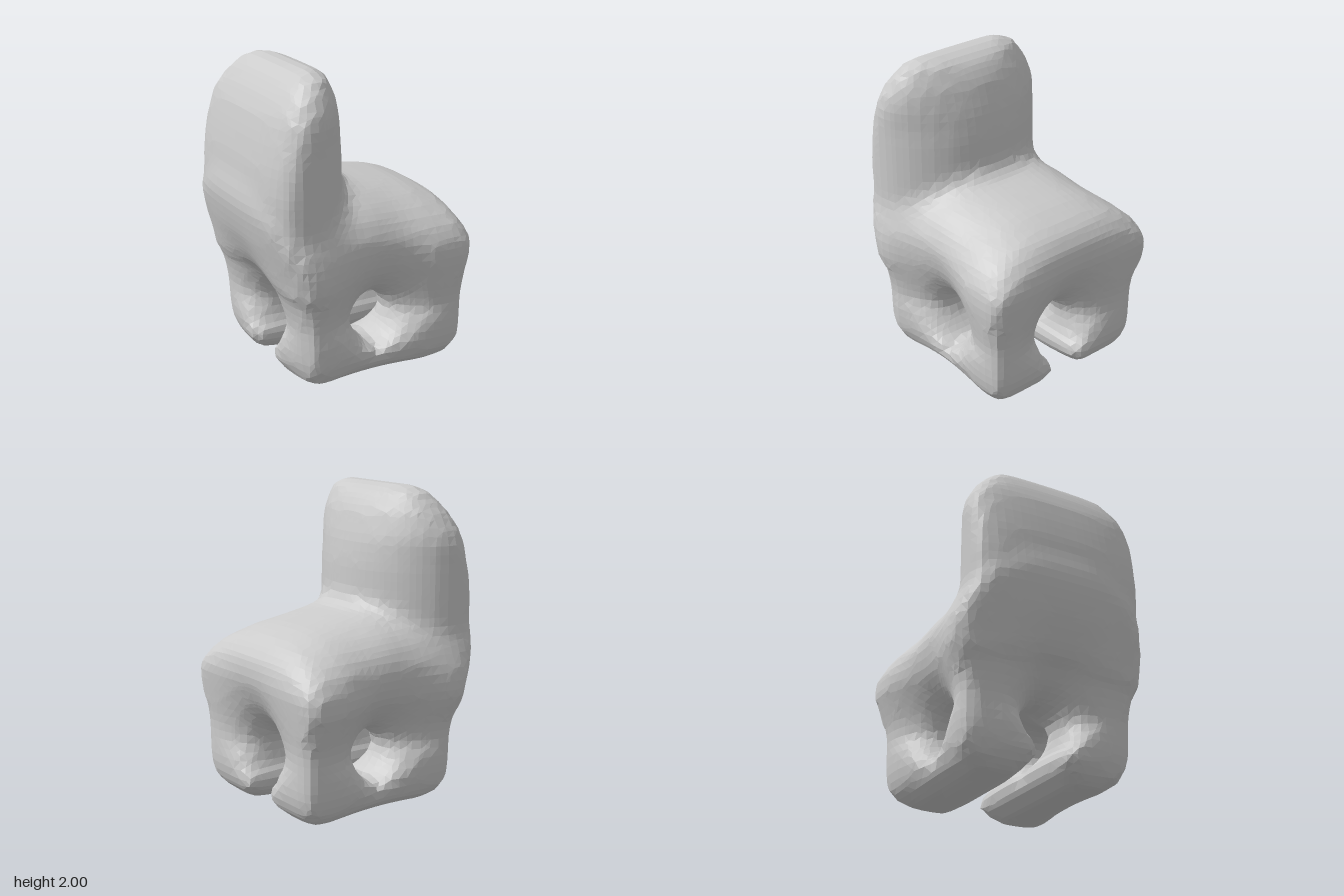
import * as THREE from 'three';

const STEP = 0.055;
const { abs, max, min, hypot } = Math;

// Smooth intersection and union of two distance fields
const smoothMax = (a, b, k) => max(a, b) + max(k - abs(a - b), 0) ** 2 / (4 * k);
const smoothMin = (a, b, k) => min(a, b) - max(k - abs(a - b), 0) ** 2 / (4 * k);
const flare = (t) => THREE.MathUtils.smoothstep(abs(t), 0.2, 0.66);

// Piecewise linear curve through [t, value] points
const curve = (...pts) => (t) => {
  if (t <= pts[0][0]) return pts[0][1];
  for (let i = 1; i < pts.length; i++) {
    const [t0, v0] = pts[i - 1], [t1, v1] = pts[i];
    if (t <= t1) return v0 + (v1 - v0) * (t - t0) / (t1 - t0);
  }
  return pts[pts.length - 1][1];
};

// Outlines by height: rear edge, front edges, half widths
const rearCurve = curve([0.17, -0.525], [0.45, -0.535], [0.75, -0.59], [1, -0.655], [1.15, -0.685],
  [1.3, -0.69], [1.45, -0.675], [1.6, -0.645], [1.75, -0.605], [1.87, -0.54], [1.97, -0.46], [2, -0.4]);
const rearEdge = (y, z) => rearCurve(y) + 0.07 * (abs(z) / 0.6) ** 3;
const frontEdge = curve([0, 0.64], [0.5, 0.64], [0.72, 0.67], [0.85, 0.685], [1, 0.67]);
const baseWidth = curve([0.17, 0.58], [0.5, 0.59], [0.75, 0.645], [0.93, 0.64], [1.2, 0.59]);
const baseShift = curve([0.55, 0.02], [0.75, 0]);
const backFront = curve([1.3, -0.045], [1.5, -0.05], [1.66, -0.07], [1.84, -0.12], [1.96, -0.19], [2, -0.25]);
const backCentre = curve([1.6, -0.5], [2, -0.34]);
const backWidth = curve([1.65, 0.585], [1.75, 0.56], [1.85, 0.51], [1.95, 0.43], [2, 0.34]);
const backShift = curve([1.65, 0.02], [2, 0.065]);
const seatTop = curve([0, 1.24], [0.2, 1.205], [0.4, 1.165], [0.55, 1.11], [0.68, 1.02]);
const seatDome = curve([0.2, 0.26], [0.64, 0.13]);
// Lower half widths of the openings, up to their widest height, and softness of their lips
const archFoot = curve([0, 0.2], [0.05, 0.13], [0.12, 0.085], [0.17, 0.07], [0.25, 0.125], [0.34, 0.14]);
const holeFoot = curve([0, -0.3], [0.2, -0.01], [0.28, 0.08], [0.37, 0.11]);
const lip = curve([0.12, 0.04], [0.4, 0.28]);

// Backrest: D-shaped section that narrows to a rounded top
function backrest(x, y, z) {
  const c = backCentre(y);
  const front = (hypot(max(x - c, 0) / (backFront(y) - c), (z - backShift(y)) / backWidth(y)) - 1) * 0.45;
  const d = smoothMax(front, rearEdge(y, z) - x, 0.1);
  return max(d, y - 2, 0.7 - y);
}

// Seat and base block: domed seat, bevelled foot edges
function base(x, y, z) {
  const waist = 0.045 * max(0, 1 - (x / 0.4) ** 2);
  let d = smoothMax(rearEdge(y, z) - x, x - frontEdge(y), 0.1);
  d = smoothMax(d, abs(z - baseShift(y)) - baseWidth(y) + waist, 0.1);
  d = smoothMax(d, y - seatTop(x) + seatDome(x) * (abs(z) / 0.6) ** 3, 0.1);
  return smoothMax(d, -y, 0.26);
}

// Arch running front to back between the runners
function arch(x, y, z) {
  const f = flare(x - 0.04);
  const w = 0.14 + 0.03 * f, h = 0.145 + 0.1 * f;
  if (y > 0.34) return (hypot((z - 0.02) / w, (y - 0.34) / h) - 1) * 0.14;
  return abs(z - 0.02) - archFoot(y) * w / 0.14;
}

// Teardrop opening through each side, above its runner
function sideHole(x, y, z) {
  const f = flare(z);
  const w = 0.11 + 0.05 * f, h = 0.125 + 0.1 * f;
  if (y > 0.37) return (hypot((x - 0.055) / w, (y - 0.37) / h) - 1) * 0.11;
  return abs(x - 0.055) - holeFoot(y + 0.03 * f) * w / 0.11;
}

function chairField(x, y, z) {
  let d = smoothMin(base(x, y, z), backrest(x, y, z), 0.12);
  d = smoothMax(d, -arch(x, y, z), lip(y));
  return smoothMax(d, -sideHole(x, y, z), lip(y));
}

// Skin the field: one vertex per crossed cell, one quad per crossed grid edge
function skin(field, lo, hi) {
  const n = lo.map((v, i) => Math.ceil((hi[i] - v) / STEP) + 1);
  const at = (i, j, k) => (k * n[1] + j) * n[0] + i;
  const value = new Float32Array(n[0] * n[1] * n[2]);
  const cell = new Int32Array(value.length).fill(-1);
  const each = (fn, cut) => {
    for (let k = cut; k < n[2] - cut; k++)
      for (let j = cut; j < n[1] - cut; j++)
        for (let i = cut; i < n[0] - cut; i++) fn([i, j, k]);
  };
  each((p) => {
    value[at(...p)] = field(...p.map((v, a) => lo[a] + v * STEP));
  }, 0);

  const points = [], faces = [];
  const stride = [1, n[0], n[0] * n[1]];
  each((p) => {
    if (p.some((v, a) => v > n[a] - 2)) return;
    const sum = new THREE.Vector3();
    let count = 0;
    for (let c = 0; c < 8; c++) {
      for (let a = 0; a < 3; a++) {
        if (c >> a & 1) continue;
        const corner = p.map((v, b) => v + (c >> b & 1));
        const v0 = value[at(...corner)], v1 = value[at(...corner) + stride[a]];
        if ((v0 < 0) === (v1 < 0)) continue;
        corner[a] += v0 / (v0 - v1);
        sum.add(new THREE.Vector3(...corner));
        count++;
      }
    }
    if (!count) return;
    cell[at(...p)] = points.length;
    points.push(sum.multiplyScalar(STEP / count).add(new THREE.Vector3(...lo)));
  }, 0);

  each((p) => {
    const o = at(...p);
    for (let a = 0; a < 3; a++) {
      const inside = value[o] < 0;
      if (inside === (value[o + stride[a]] < 0)) continue;
      const u = stride[(a + 1) % 3], v = stride[(a + 2) % 3];
      const q = [cell[o - u - v], cell[o - v], cell[o], cell[o - u]];
      if (!inside) q.reverse();
      // Split each quad along its shorter diagonal
      const [A, B, C, D] = q.map((i) => points[i]);
      if (A.distanceTo(C) > B.distanceTo(D)) q.push(q.shift());
      faces.push([q[0], q[1], q[2]], [q[0], q[2], q[3]]);
    }
  }, 1);
  return { points, faces };
}

export function createModel() {
  const chair = new THREE.Group();
  chair.name = 'chair';
  const material = new THREE.MeshStandardMaterial({ color: 0xcccccc, flatShading: true });
  const { points, faces } = skin(chairField, [-0.83, -0.1375, -0.8], [0.83, 2.15, 0.8]);
  const whole = new THREE.BufferGeometry().setFromPoints(points);
  whole.setIndex(faces.flat());
  whole.computeVertexNormals();

  // Divide the continuous skin into named parts
  const parts = { backrest: [], seat: [], leftLegsAndRunner: [], rightLegsAndRunner: [] };
  for (const face of faces) {
    const { x, y, z } = face.reduce((s, i) => s.add(points[i]), new THREE.Vector3()).divideScalar(3);
    const name = y > 1.25 || (y > 0.9 && x < -0.1) ? 'backrest'
      : y > 0.55 ? 'seat' : z > 0 ? 'leftLegsAndRunner' : 'rightLegsAndRunner';
    parts[name].push(...face);
  }
  for (const [name, index] of Object.entries(parts)) {
    const geometry = new THREE.BufferGeometry();
    geometry.setAttribute('position', whole.attributes.position);
    geometry.setAttribute('normal', whole.attributes.normal);
    geometry.setIndex(index);
    const mesh = new THREE.Mesh(geometry, material);
    mesh.name = name;
    chair.add(mesh);
  }
  return chair;
}
